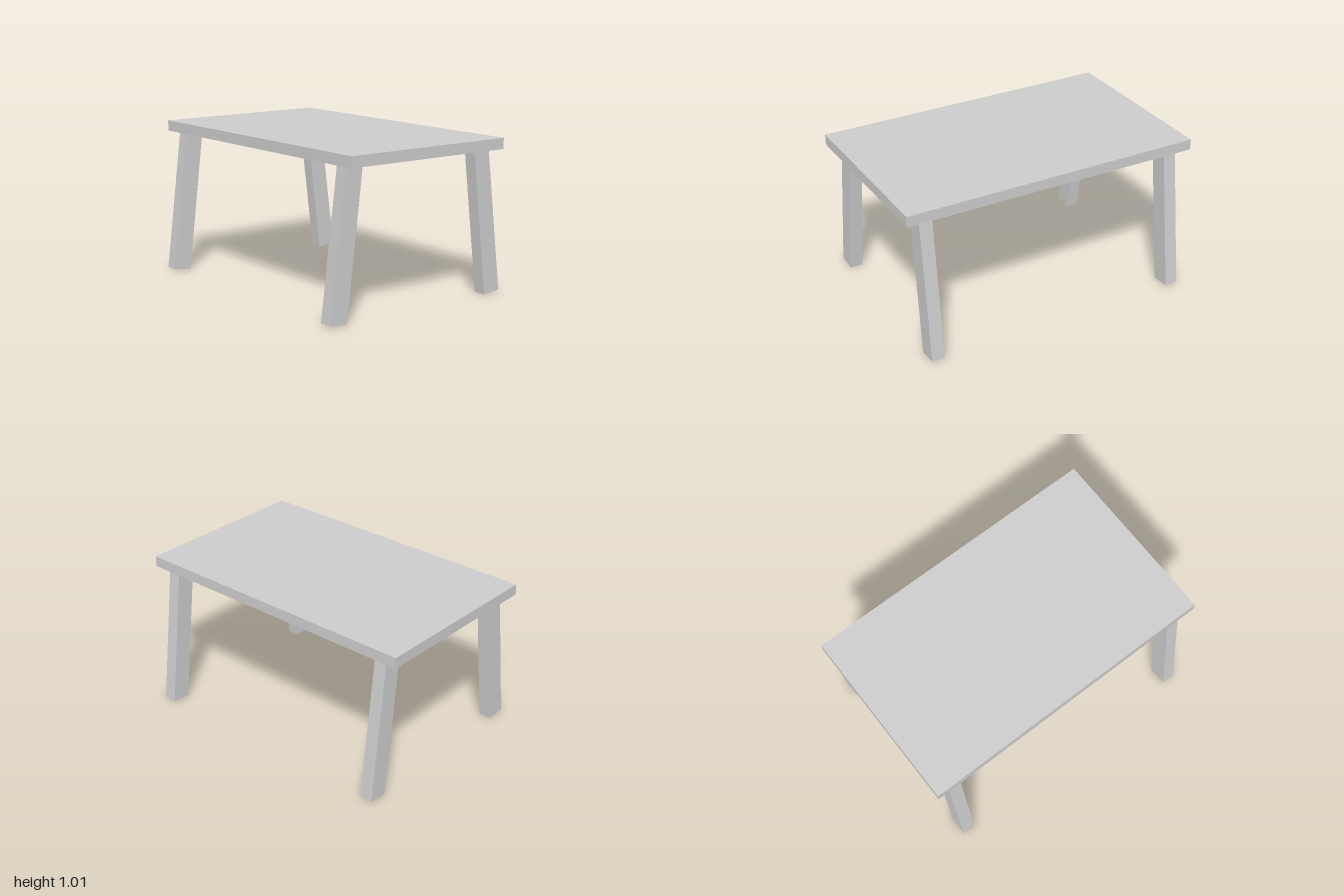
import * as THREE from 'three';

export function createModel() {
  const table = new THREE.Group();
  table.name = 'table';
  const material = new THREE.MeshStandardMaterial({ color: 0xcccccc, flatShading: true });

  // Flat slab top
  const top = new THREE.Mesh(new THREE.BoxGeometry(1.206, 0.07, 2), material);
  top.name = 'tableTop';
  top.position.y = 0.977;
  table.add(top);

  // Splayed legs: slanted side profile, extruded along z, ending inside the top
  const legDepth = 0.086;
  for (const side of [1, -1]) {
    const profile = new THREE.Shape([
      [0.558, 0], [0.683, 0.012], [0.564, 0.96], [0.441, 0.96],
    ].map(([x, y]) => new THREE.Vector2(side * x, y)));
    for (const end of [1, -1]) {
      const geometry = new THREE.ExtrudeGeometry(profile, { depth: legDepth, bevelEnabled: false });
      const leg = new THREE.Mesh(geometry, material);
      leg.name = (end > 0 ? 'front' : 'back') + (side > 0 ? 'Left' : 'Right') + 'Leg';
      leg.position.z = end * 0.864 - legDepth / 2;
      table.add(leg);
    }
  }
  return table;
}
